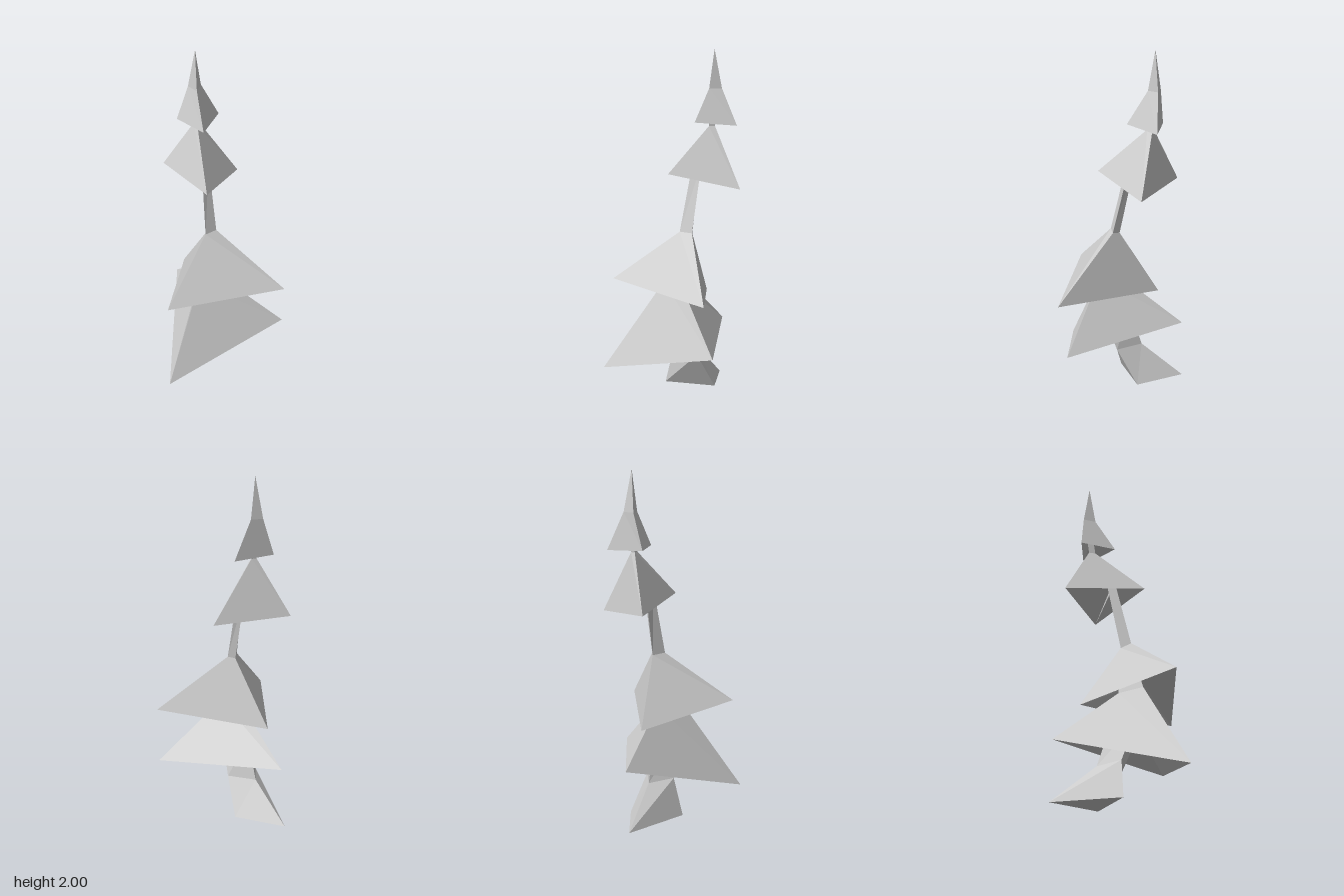
import * as THREE from 'three';

// Each ring is a triangular cross-section: front/left, right, back corner.
const base = [[-0.245, 0, 0.02], [0.005, 0, -0.16], [-0.215, 0, -0.38]];
const knee = [[-0.19, 0.22, 0.0], [0.0, 0.21, -0.03], [-0.13, 0.21, -0.145]];

// neck: where the trunk meets the underside; rim: wide branch tips; crown: narrow top
const tiers = [
  {
    neck: [[-0.15, 0.44, 0.07], [0.0, 0.44, 0.07], [-0.11, 0.44, -0.075]],
    rim: [[-0.37, 0.125, 0.385], [0.37, 0.295, 0.15], [-0.19, 0.355, -0.38]],
    crown: [[-0.135, 0.65, 0.11], [0.0, 0.65, 0.085], [-0.09, 0.64, -0.035]],
  },
  {
    neck: [[-0.12, 0.72, 0.09], [0.0, 0.72, 0.07], [-0.08, 0.72, -0.03]],
    rim: [[-0.355, 0.66, 0.32], [0.36, 0.595, 0.205], [-0.165, 0.555, -0.235]],
    crown: [[-0.08, 0.945, 0.035], [-0.01, 0.94, 0.0], [-0.045, 0.935, -0.03]],
  },
  {
    neck: [[-0.08, 1.34, -0.06], [-0.035, 1.34, -0.09], [-0.07, 1.34, -0.11]],
    rim: [[-0.085, 1.285, 0.115], [0.16, 1.195, -0.22], [-0.26, 1.235, -0.315]],
    crown: [[-0.08, 1.55, -0.18], [-0.065, 1.55, -0.215], [-0.095, 1.55, -0.215]],
  },
  {
    neck: [[-0.08, 1.62, -0.19], [-0.065, 1.62, -0.225], [-0.095, 1.62, -0.225]],
    rim: [[-0.067, 1.575, -0.064], [0.06, 1.555, -0.278], [-0.185, 1.57, -0.243]],
    crown: [[-0.08, 1.77, -0.182], [-0.045, 1.77, -0.25], [-0.118, 1.77, -0.246]],
  },
];
const tip = [-0.08, 2, -0.222];

// Triangles joining two rings; flip picks the other diagonal of each side
function band(lower, upper, flip = false) {
  const out = [];
  for (let i = 0; i < 3; i++) {
    const j = (i + 1) % 3;
    const [a, b, c, d] = [lower[i], lower[j], upper[j], upper[i]];
    out.push(...(flip ? [a, b, d, b, c, d] : [a, b, c, a, c, d]));
  }
  return out;
}

// Triangles from a ring up to a single point
function cone(ring, point) {
  return ring.flatMap((p, i) => [p, ring[(i + 1) % 3], point]);
}

export function createModel() {
  const tree = new THREE.Group();
  tree.name = 'tree';
  const material = new THREE.MeshStandardMaterial({
    color: 0xcccccc, flatShading: true, side: THREE.DoubleSide,
  });

  function addPart(name, corners) {
    const geometry = new THREE.BufferGeometry();
    geometry.setAttribute('position', new THREE.Float32BufferAttribute(corners.flat(), 3));
    geometry.computeVertexNormals();
    const mesh = new THREE.Mesh(geometry, material);
    mesh.name = name;
    tree.add(mesh);
  }

  // Flared foot with a closed bottom
  addPart('trunkBase', [base[0], base[2], base[1], ...band(base, knee)]);

  // Trunk pieces and leaning foliage skirts, from the ground up
  let below = knee;
  tiers.forEach(({ neck, rim, crown }, i) => {
    addPart(`trunk${i + 1}`, band(below, neck));
    addPart(`foliage${i + 1}`, [...band(neck, rim), ...band(rim, crown, true)]);
    below = crown;
  });

  // Pointed top
  addPart('treeTip', cone(below, tip));
  return tree;
}
